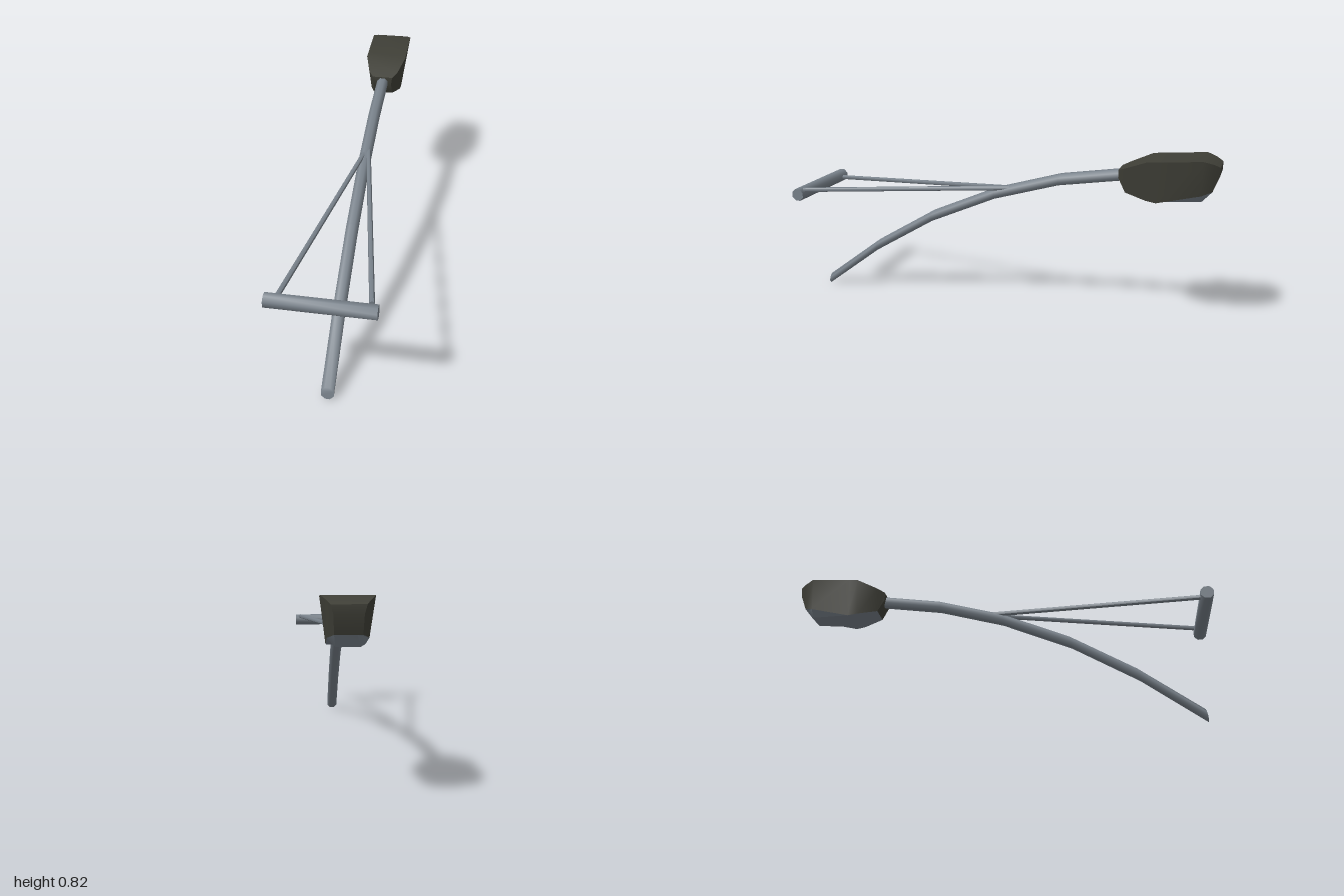
import * as THREE from 'three';
import { mergeGeometries, toCreasedNormals } from 'three/addons/utils/BufferGeometryUtils.js';

const CX = 0.006; // centre line of mast and lamp head

// Skin over rings of points; rings run towards -z, points counterclockwise seen from +z
function loft(rings, closed, caps) {
  const n = rings[0].length, index = [];
  const last = (rings.length - 1) * n;
  for (let i = 0; i < rings.length - 1; i++) {
    for (let j = 0; j < (closed ? n : n - 1); j++) {
      const k = (j + 1) % n;
      const a = i * n + j, b = i * n + k, c = b + n, d = a + n;
      index.push(a, d, c, a, c, b);
    }
  }
  if (caps) {
    for (let j = 1; j < n - 1; j++) {
      index.push(0, j, j + 1, last, last + j + 1, last + j);
    }
  }
  const g = new THREE.BufferGeometry();
  g.setAttribute('position', new THREE.Float32BufferAttribute(rings.flat(2), 3));
  g.setIndex(index);
  return g;
}

function addMesh(group, name, geometry, material, crease = Math.PI / 3) {
  const mesh = new THREE.Mesh(toCreasedNormals(geometry, crease), material);
  mesh.name = name;
  group.add(mesh);
  return mesh;
}

export function createModel() {
  const model = new THREE.Group();
  model.name = 'streetLamp';
  const steel = new THREE.MeshStandardMaterial({ color: 0x78818a });
  steel.name = 'steel grey';
  const dark = new THREE.MeshStandardMaterial({ color: 0x3f3f37 });
  dark.name = 'dark housing';

  // Curved mast with upright cross-sections: [z, y]
  const path = [[0.935, 0.028], [0.65, 0.243], [0.345, 0.428], [0.02, 0.572],
    [-0.29, 0.665], [-0.58, 0.713], [-0.64, 0.72]];
  const mastRings = path.map(([z, y]) => Array.from({ length: 8 }, (_, i) => {
    const a = (i + 0.5) * Math.PI / 4, r = 0.029;
    return [CX + r * Math.cos(a), y + r * Math.sin(a), z - 0.005 * Math.sin(a)];
  }));
  addMesh(model, 'mast', loft(mastRings, true, true), steel);

  // Horizontal mounting bar
  const bar = new THREE.CylinderGeometry(0.031, 0.031, 0.434, 8);
  bar.rotateY(Math.PI / 8);
  bar.rotateZ(Math.PI / 2);
  const barMesh = addMesh(model, 'mountingBar', bar, steel);
  barMesh.position.set(0, 0.5285, 0.97);

  // Two thin struts from the bar to the mast
  const strut = (name, from, to) => {
    const a = new THREE.Vector3(...from), b = new THREE.Vector3(...to);
    const g = new THREE.CylinderGeometry(0.011, 0.011, a.distanceTo(b), 8);
    const mesh = addMesh(model, name, g, steel);
    mesh.position.copy(a).add(b).multiplyScalar(0.5);
    mesh.quaternion.setFromUnitVectors(new THREE.Vector3(0, 1, 0), b.sub(a).normalize());
  };
  strut('leftStrut', [0.19, 0.55, 0.95], [0.015, 0.606, -0.06]);
  strut('rightStrut', [-0.177, 0.525, 0.95], [0.004, 0.604, -0.06]);

  // Lamp head sections: z, top y, top half width, bottom y, bottom half width, lens y
  const sections = [
    [-0.567, 0.743, 0.050, 0.706, 0.045, 0.706],
    [-0.600, 0.757, 0.072, 0.643, 0.048, 0.643],
    [-0.695, 0.797, 0.100, 0.622, 0.075, 0.622],
    [-0.740, 0.801, 0.100, 0.615, 0.077, 0.613],
    [-0.930, 0.818, 0.100, 0.664, 0.077, 0.631],
    [-0.973, 0.805, 0.080, 0.680, 0.052, 0.680],
    [-1.000, 0.791, 0.065, 0.755, 0.055, 0.755],
  ];
  const shell = sections.map(([z, yt, wt, yb, wb]) => [
    [CX + wb, yb, z], [CX + wt, yt, z], [CX - wt, yt, z], [CX - wb, yb, z]]);
  const underside = sections.map(([z, , , yb, wb]) => [[CX - wb, yb, z], [CX + wb, yb, z]]);
  const housing = mergeGeometries([
    loft(shell, false, true),
    loft(underside.slice(0, 2), false, false),
    loft(underside.slice(5), false, false),
  ]);
  addMesh(model, 'lampHousing', housing, dark, 0.9);

  // Shallow lens closing the underside of the housing
  const lens = sections.slice(1, 6).map(([z, , , yb, wb, yl]) => [
    [CX - wb, yb, z], [CX - wb * 0.6, yl, z], [CX + wb * 0.6, yl, z], [CX + wb, yb, z]]);
  addMesh(model, 'lens', loft(lens, false, false), steel, 0.6);

  return model;
}
